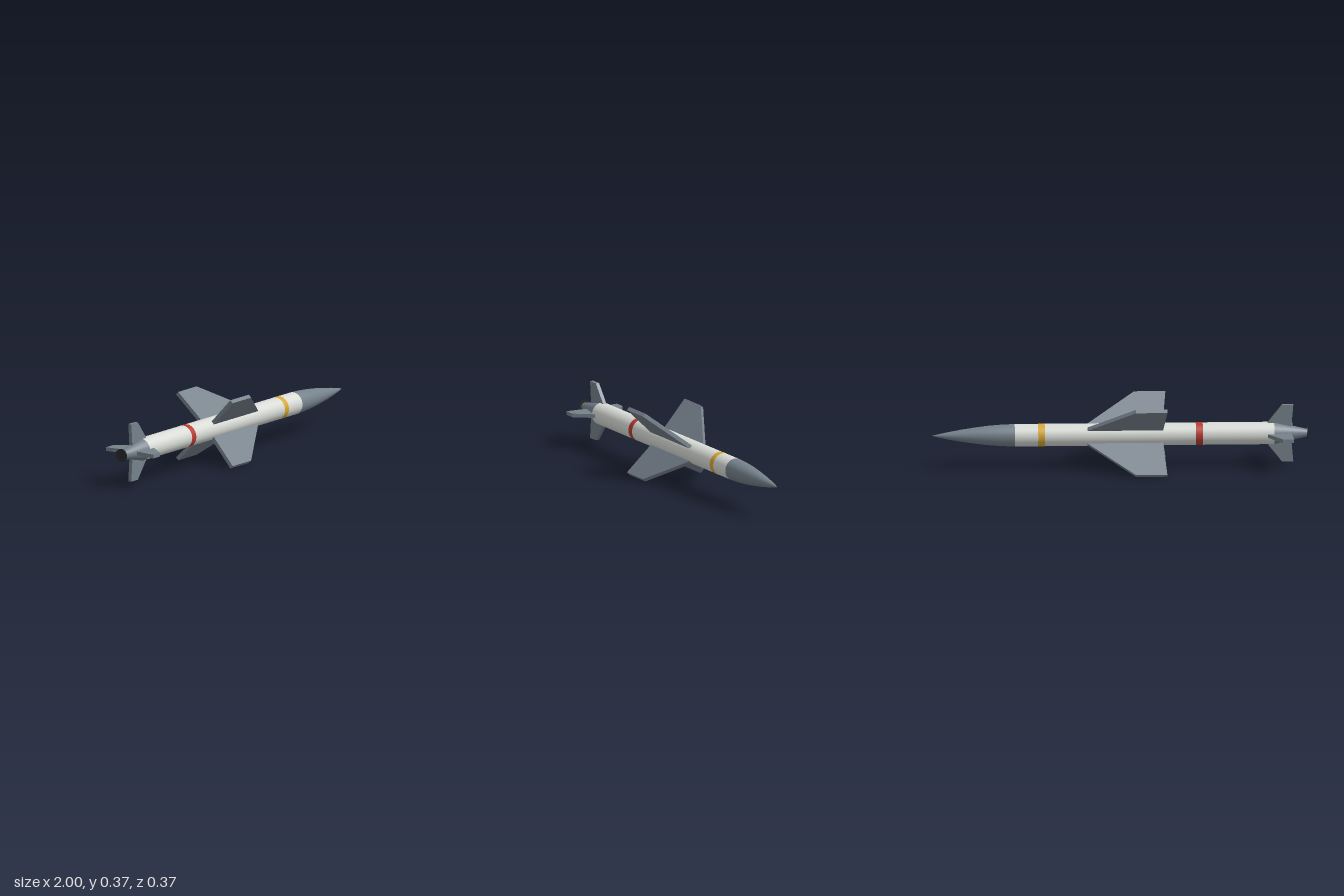
import * as THREE from 'three';

const AXIS_Y = 0.188; // height of the missile's centre line
const RADIUS = 0.06;
const SEGMENTS = 32;

function material(name, color) {
  const m = new THREE.MeshStandardMaterial({ color });
  m.name = name;
  return m;
}

export function createModel() {
  const white = material('paleGrey', 0xd8dbd6);
  const grey = material('slateGrey', 0x75818b);
  const red = material('red', 0xb83a30);
  const yellow = material('yellow', 0xd6a832);
  const dark = material('nozzleBlack', 0x25282a);

  const model = new THREE.Group();
  model.name = 'missile';
  const airframe = new THREE.Group();
  airframe.name = 'airframe';
  airframe.position.y = AXIS_Y;
  model.add(airframe);

  function add(name, geometry, mat) {
    const mesh = new THREE.Mesh(geometry, mat);
    mesh.name = name;
    airframe.add(mesh);
    return mesh;
  }

  // Round section lying along x, from a rear to a front station
  function section(name, x0, x1, r0, r1, mat, open = false) {
    const g = new THREE.CylinderGeometry(r1, r0, x1 - x0, SEGMENTS, 1, open);
    g.rotateZ(-Math.PI / 2);
    g.translate((x0 + x1) / 2, 0, 0);
    return add(name, g, mat);
  }

  // Four flat fins around the axis; outline is [x, radius]
  function finSet(name, outline, thickness, startAngle) {
    const shape = new THREE.Shape(outline.map(([x, r]) => new THREE.Vector2(x, r)));
    const g = new THREE.ExtrudeGeometry(shape, { depth: thickness, bevelEnabled: false });
    g.translate(0, 0, -thickness / 2);
    for (let i = 0; i < 4; i++) {
      add(name + (i + 1), g, grey).rotation.x = startAngle + i * Math.PI / 2;
    }
  }

  // Body, boat tail and nozzle
  section('body', -0.82, 0.56, RADIUS, RADIUS, white);
  section('tailCone', -0.997, -0.82, 0.02, RADIUS, grey);
  section('nozzle', -1, -0.995, 0.035, 0.035, dark);

  // Painted bands
  section('redBand', -0.44, -0.403, RADIUS + 0.001, RADIUS + 0.001, red, true);
  section('yellowBand', 0.4, 0.436, RADIUS + 0.001, RADIUS + 0.001, yellow, true);

  // Ogive nose
  const profile = [[0.06, 0.56], [0.0575, 0.63], [0.052, 0.7], [0.0435, 0.77],
    [0.033, 0.84], [0.0205, 0.91], [0.009, 0.965], [0, 1]];
  const nose = new THREE.LatheGeometry(
    profile.map(([r, x]) => new THREE.Vector2(r, x)), SEGMENTS);
  nose.rotateZ(-Math.PI / 2);
  add('noseCone', nose, grey);

  // Main wings in an X, tail fins in a cross
  finSet('wing', [[-0.228, 0.055], [0.18, 0.055], [-0.08, 0.253], [-0.247, 0.253]],
    0.021, Math.PI / 4);
  finSet('tailFin', [[-0.91, 0.02], [-0.82, 0.03], [-0.785, 0.058], [-0.862, 0.156], [-0.922, 0.156]],
    0.02, 0);

  return model;
}
